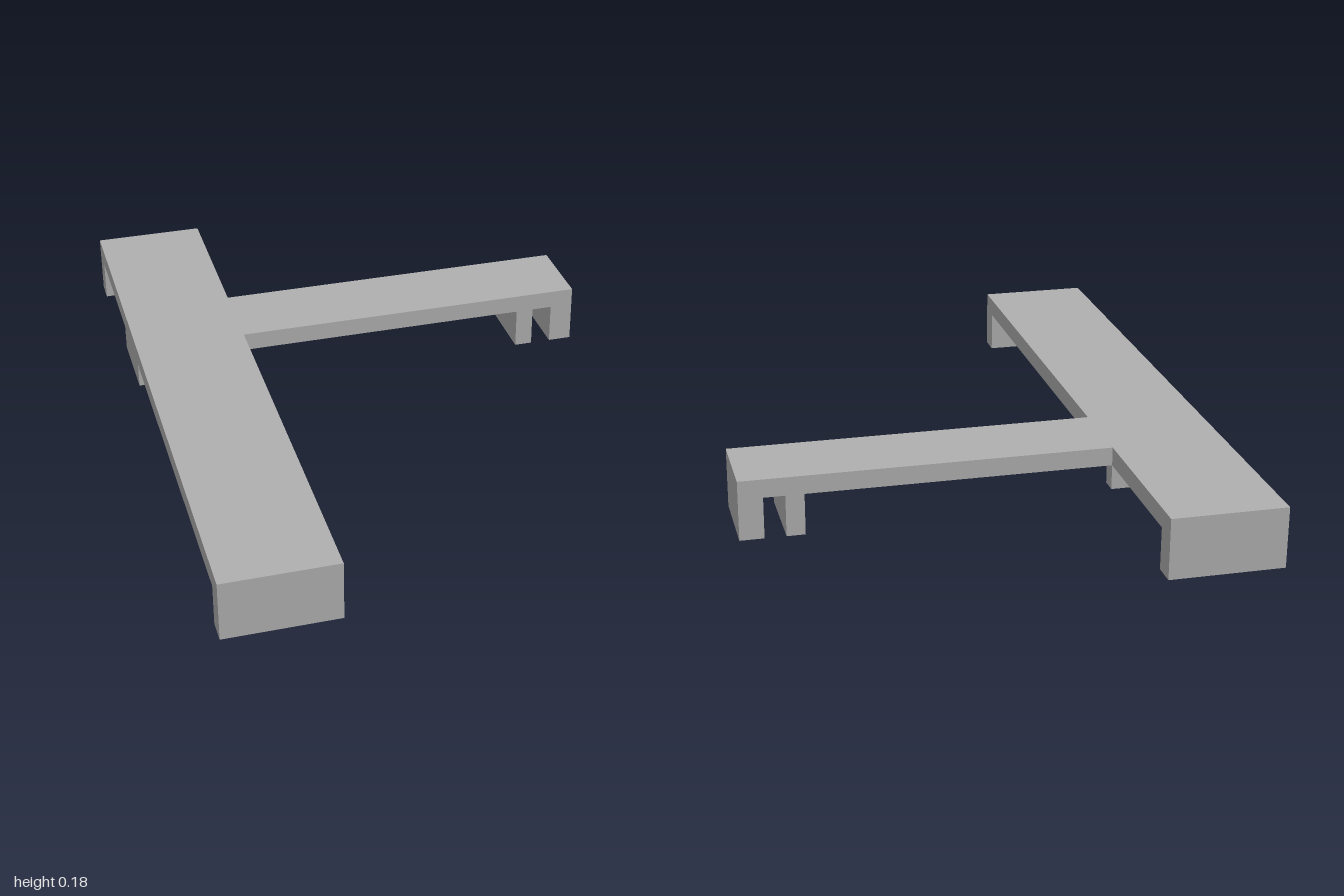
import * as THREE from 'three';

const TOP = 0.182, UNDER = 0.126;         // plate top and underside heights
const BAR_L = -0.72, BAR_R = -0.38;       // long bar, x range
const ARM_BACK = -0.486, ARM_FRONT = -0.238; // side arm, z range
const ARM_END = 0.72;

// Extrude a closed outline given as [x, y] pairs
function extrude(points, depth) {
  const shape = new THREE.Shape(points.map(([x, y]) => new THREE.Vector2(x, y)));
  return new THREE.ExtrudeGeometry(shape, { depth, bevelEnabled: false });
}

export function createModel() {
  const group = new THREE.Group();
  const grey = new THREE.MeshStandardMaterial({ color: 0xb0b0b0 });
  grey.name = 'plain grey';

  const add = (name, geometry) => {
    const mesh = new THREE.Mesh(geometry, grey);
    mesh.name = name;
    group.add(mesh);
  };

  // Long bar with a foot at each end: (z, y) profile run along x
  const foot = 0.93;
  const bar = extrude([
    [-1, 0], [-foot, 0], [-foot, UNDER], [foot, UNDER],
    [foot, 0], [1, 0], [1, TOP], [-1, TOP],
  ], BAR_R - BAR_L);
  bar.rotateY(-Math.PI / 2).translate(BAR_R, 0, 0);
  add('longBar', bar);

  // Side arm with a slotted pair of feet: (x, y) profile run along z
  const arm = extrude([
    [BAR_R, UNDER], [0.53, UNDER], [0.53, 0], [0.585, 0], [0.585, UNDER],
    [0.648, UNDER], [0.648, 0], [ARM_END, 0], [ARM_END, TOP], [BAR_R, TOP],
  ], ARM_FRONT - ARM_BACK);
  arm.translate(0, 0, ARM_BACK);
  add('sideArm', arm);

  // U-shaped rim under the junction, open toward the arm: (x, -z) outline run up y
  const wall = 0.05, rimBottom = 0.05;
  const near = -ARM_FRONT, far = -ARM_BACK;
  const rim = extrude([
    [BAR_L, near], [BAR_R, near], [BAR_R, near + wall], [BAR_L + wall, near + wall],
    [BAR_L + wall, far - wall], [BAR_R, far - wall], [BAR_R, far], [BAR_L, far],
  ], UNDER - rimBottom);
  rim.rotateX(-Math.PI / 2).translate(0, rimBottom, 0);
  add('undersideRim', rim);

  return group;
}
